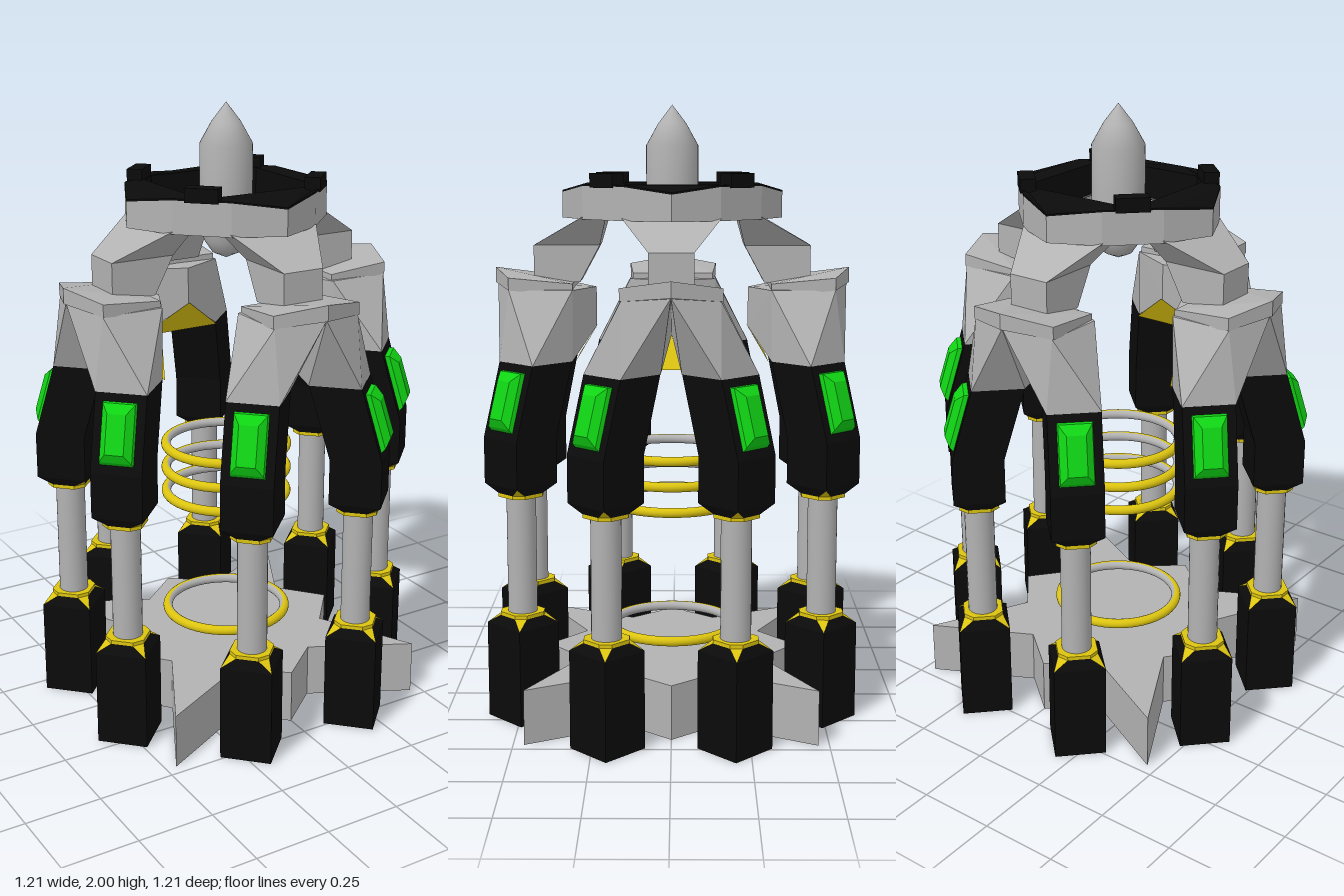
import * as THREE from 'three';
import { ConvexGeometry } from 'three/addons/geometries/ConvexGeometry.js';

const material = (name, color, extra = {}) => {
  const m = new THREE.MeshStandardMaterial({ color, ...extra });
  m.name = name;
  return m;
};

export function createModel() {
  const steel = material('steel grey', 0xb2b2b2);
  const black = material('black', 0x0b0b0b);
  const yellow = material('yellow', 0xdcc410, { side: THREE.DoubleSide });
  const green = material('green', 0x10d414);

  const model = new THREE.Group();
  model.name = 'reactorTower';

  const add = (parent, name, geometry, mat) => {
    const mesh = new THREE.Mesh(geometry, mat);
    mesh.name = name;
    parent.add(mesh);
    return mesh;
  };
  const hull = (points) => new ConvexGeometry(points.map((p) => new THREE.Vector3(...p)));
  const outline = (points) => points.map((p) => new THREE.Vector2(...p));
  // Flat slab: outline in x and z, raised from y0 to y1
  const slab = (points, y0, y1, hole) => {
    const shape = new THREE.Shape(outline(points));
    if (hole) shape.holes.push(new THREE.Path(outline(hole)));
    const g = new THREE.ExtrudeGeometry(shape, { depth: y1 - y0, bevelEnabled: false });
    return g.rotateX(-Math.PI / 2).translate(0, y0, 0);
  };
  // Repeats one quarter's points around the centre
  const fourfold = (points) => {
    const out = [];
    for (let k = 0; k < 4; k++) {
      const c = Math.round(Math.cos(k * Math.PI / 2));
      const s = Math.round(Math.sin(k * Math.PI / 2));
      for (const [x, y] of points) out.push([x * c - y * s, x * s + y * c]);
    }
    return out;
  };

  // Star base
  const star = fourfold([[0.42, 0], [0.3, 0.145], [0.465, 0.465], [0.145, 0.3]]);
  add(model, 'starBase', slab(star, 0, 0.18), steel);

  // Coil rings: yellow outside, grey inside
  const ringArc = (from, to) => {
    const pts = [];
    for (let i = 0; i <= 10; i++) {
      const a = from + (to - from) * i / 10;
      pts.push(new THREE.Vector2(0.204 + 0.016 * Math.cos(a), 0.016 * Math.sin(a)));
    }
    return new THREE.LatheGeometry(pts, 48);
  };
  const outerArc = ringArc(-1.9, 1.9);
  const innerArc = ringArc(1.9, 2 * Math.PI - 1.9);
  for (const y of [0.255, 0.69, 0.775, 0.86]) {
    add(model, 'coilOuter', outerArc, yellow).position.y = y;
    add(model, 'coilInner', innerArc, steel).position.y = y;
  }

  // Chamfered post cap: square below, octagon above, yellow corners and rim
  const capGeometry = () => {
    const s = 0.083, a = 0.064, b = 0.036, h = 0.03, top = 0.042;
    const dark = [], bright = [];
    const put = (list, ...ps) => ps.forEach((p) => list.push(...p));
    for (let k = 0; k < 4; k++) {
      const c = Math.round(Math.cos(k * Math.PI / 2));
      const n = Math.round(Math.sin(k * Math.PI / 2));
      const at = (x, y, z) => [x * c + z * n, y, -x * n + z * c];
      const c0 = at(-s, 0, s), c1 = at(s, 0, s);
      const p0 = at(-b, h, a), p1 = at(b, h, a), p2 = at(a, h, b);
      const q0 = at(-b, top, a), q1 = at(b, top, a), q2 = at(a, top, b);
      put(dark, c0, c1, p1, c0, p1, p0);
      put(bright, c1, p2, p1);
      put(bright, p0, p1, q1, p0, q1, q0, p1, p2, q2, p1, q2, q1);
      put(bright, [0, top, 0], q0, q1, [0, top, 0], q1, q2);
    }
    const g = new THREE.BufferGeometry();
    g.setAttribute('position', new THREE.Float32BufferAttribute([...dark, ...bright], 3));
    g.addGroup(0, dark.length / 3, 0);
    g.addGroup(dark.length / 3, bright.length / 3, 1);
    g.computeVertexNormals();
    return g;
  };
  const cap = capGeometry();
  const foot = new THREE.BoxGeometry(0.166, 0.32, 0.166).translate(0, 0.16, 0);
  const pole = new THREE.CylinderGeometry(0.048, 0.048, 0.41, 24).translate(0, 0.555, 0);

  // Housing leaning inward above its knee
  const housing = new THREE.ExtrudeGeometry(new THREE.Shape(outline([
    [-0.083, 0.79], [0.083, 0.79], [0.083, 0.94], [0.013, 1.18], [-0.153, 1.18], [-0.083, 0.94],
  ])), { depth: 0.166, bevelEnabled: false }).rotateY(-Math.PI / 2).translate(0.083, 0, 0);

  // Faceted lamp on the leaning face
  const lampPoints = [];
  for (const sx of [-1, 1]) {
    lampPoints.push([sx * 0.055, 0.965, 0.073], [sx * 0.055, 1.155, 0.018]);
    lampPoints.push([sx * 0.052, 0.98, 0.087], [sx * 0.052, 1.155, 0.035]);
    lampPoints.push([sx * 0.03, 1.01, 0.1], [sx * 0.03, 1.13, 0.064]);
  }
  const lamp = hull(lampPoints);

  // Eight posts, each turned to face its diagonal
  for (const sx of [-1, 1]) for (const sz of [-1, 1]) {
    for (const [x, z] of [[0.2, 0.49], [0.49, 0.2]]) {
      const post = new THREE.Group();
      post.name = 'post';
      post.position.set(sx * x, 0, sz * z);
      post.rotation.y = Math.atan2(sx, sz);
      add(post, 'foot', foot, black);
      add(post, 'pole', pole, steel);
      add(post, 'housing', housing, black);
      add(post, 'lamp', lamp, green);
      add(post, 'footCap', cap, [black, yellow]).position.y = 0.32;
      const lower = add(post, 'housingCap', cap, [black, yellow]);
      lower.position.y = 0.79;
      lower.rotation.x = Math.PI;
      model.add(post);
    }
  }

  // Four shoulder arms holding the collar
  const half = (sx) => hull([
    [0, 1.425, 0.575], [sx * 0.15, 1.41, 0.525], [sx * 0.15, 1.41, 0.32],
    [0, 1.41, 0.25], [0, 1.28, 0.25],
    [sx * 0.268, 1.18, 0.44], [sx * 0.15, 1.18, 0.558], [sx * 0.032, 1.18, 0.44], [sx * 0.15, 1.18, 0.322],
  ]);
  const halves = [half(-1), half(1)];
  const mirrored = (points) => hull(points.flatMap(([x, y, z]) => [[x, y, z], [-x, y, z]]));
  const plate = mirrored([
    [0, 1.475, 0.583], [0, 1.425, 0.583], [0.155, 1.45, 0.525], [0.155, 1.41, 0.525],
    [0.14, 1.43, 0.32], [0.14, 1.39, 0.32],
  ]);
  const bend = [[0.07, 1.55, 0.45], [0.07, 1.55, 0.235]];
  const upperArm = mirrored([[0.155, 1.645, 0.21], [0.155, 1.645, 0.285], ...bend]);
  const lowerArm = mirrored([...bend, [0.07, 1.43, 0.45], [0.07, 1.43, 0.3]]);
  const liner = new THREE.BufferGeometry();
  liner.setAttribute('position', new THREE.Float32BufferAttribute(
    [0, 1.29, 0.243, -0.15, 1.175, 0.314, 0.15, 1.175, 0.314], 3));
  liner.computeVertexNormals();
  const prong = new THREE.BoxGeometry(0.106, 0.045, 0.05);

  for (let k = 0; k < 4; k++) {
    const arm = new THREE.Group();
    arm.name = 'shoulderArm';
    arm.rotation.y = k * Math.PI / 2;
    halves.forEach((g) => add(arm, 'shoulderArmour', g, steel));
    add(arm, 'shoulderPlate', plate, steel);
    add(arm, 'upperArm', upperArm, steel);
    add(arm, 'lowerArm', lowerArm, steel);
    add(arm, 'innerPanel', liner, yellow);
    const block = add(arm, 'collarProng', prong, black);
    block.position.set(0.205, 1.76, 0.205);
    block.rotation.y = Math.PI / 4;
    model.add(arm);
  }

  // Collar with dipped points, black top and black inner wall
  const rim = fourfold([[0.36, 0], [0.285, 0.153], [0.153, 0.285]]);
  const opening = fourfold([[0.215, 0.16], [0.16, 0.215]]);
  const lining = opening.map(([x, y]) => [x * 0.98, y * 0.98]);
  const dip = (g) => {
    const p = g.attributes.position;
    for (let i = 0; i < p.count; i++) {
      const far = Math.max(Math.abs(p.getX(i)), Math.abs(p.getZ(i)));
      if (far > 0.33 && p.getY(i) > 1.7) p.setY(i, p.getY(i) - 0.022);
    }
    g.computeVertexNormals();
    return g;
  };
  add(model, 'collar', dip(slab(rim, 1.637, 1.742, opening)), steel);
  add(model, 'collarTop', dip(slab(rim, 1.742, 1.748, opening)), black);
  add(model, 'collarLining', slab(opening, 1.64, 1.748, lining), black);

  // Pointed core hanging in the collar
  const core = [[0, 1.5], [0.045, 1.52], [0.072, 1.56], [0.085, 1.63], [0.085, 1.87], [0.046, 1.94], [0, 2]];
  add(model, 'core', new THREE.LatheGeometry(outline(core), 32), steel);

  return model;
}
